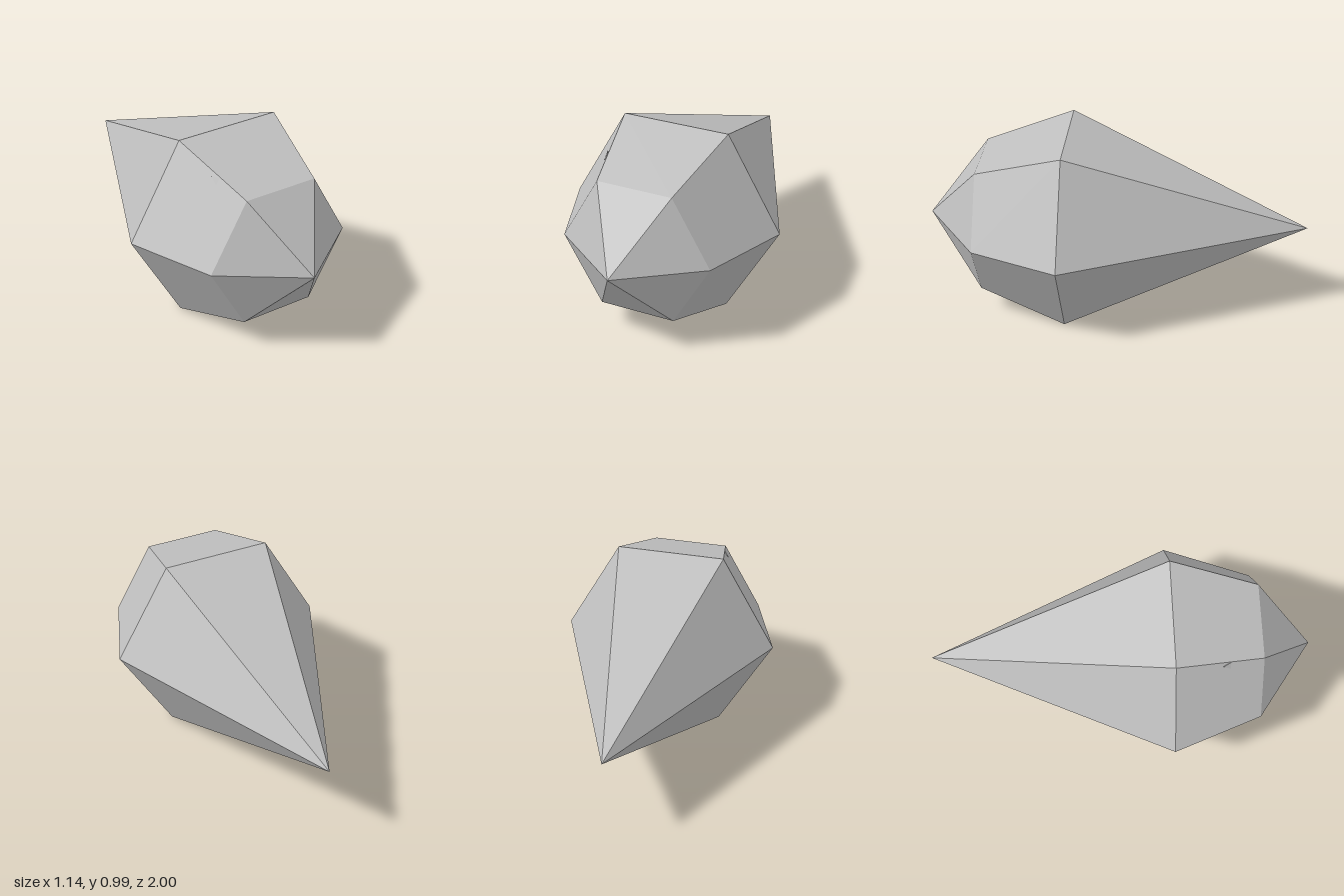
import * as THREE from 'three';
import { ConvexGeometry } from 'three/addons/geometries/ConvexGeometry.js';

// Split shared vertices so every facet is flat
function faceted(geometry) {
  const flat = geometry.toNonIndexed();
  flat.computeVertexNormals();
  return flat;
}

export function createModel() {
  const group = new THREE.Group();
  group.name = 'crystal';
  const stone = new THREE.MeshStandardMaterial({ color: 0xbfbfbf });
  stone.name = 'grey stone';

  // Six-sided gem: long point at the back, short blunt point at the front
  const profile = [[0, -1], [0.571, 0.26], [0.4, 0.715], [0, 1]]
    .map(([r, z]) => new THREE.Vector2(r, z));
  const gem = new THREE.LatheGeometry(profile, 6, Math.PI / 6);
  gem.rotateX(Math.PI / 2);
  const body = new THREE.Mesh(faceted(gem), stone);
  body.name = 'gemBody';
  body.position.y = 0.495;
  group.add(body);

  // Tiny splinter standing out of the upper facet edge
  const splinter = new THREE.Mesh(new ConvexGeometry([
    new THREE.Vector3(-0.257, 0.895, 0.5),
    new THREE.Vector3(-0.235, 0.897, 0.54),
    new THREE.Vector3(-0.256, 0.86, 0.54),
    new THREE.Vector3(-0.225, 0.86, 0.49),
  ]), stone);
  splinter.name = 'splinter';
  group.add(splinter);

  return group;
}
